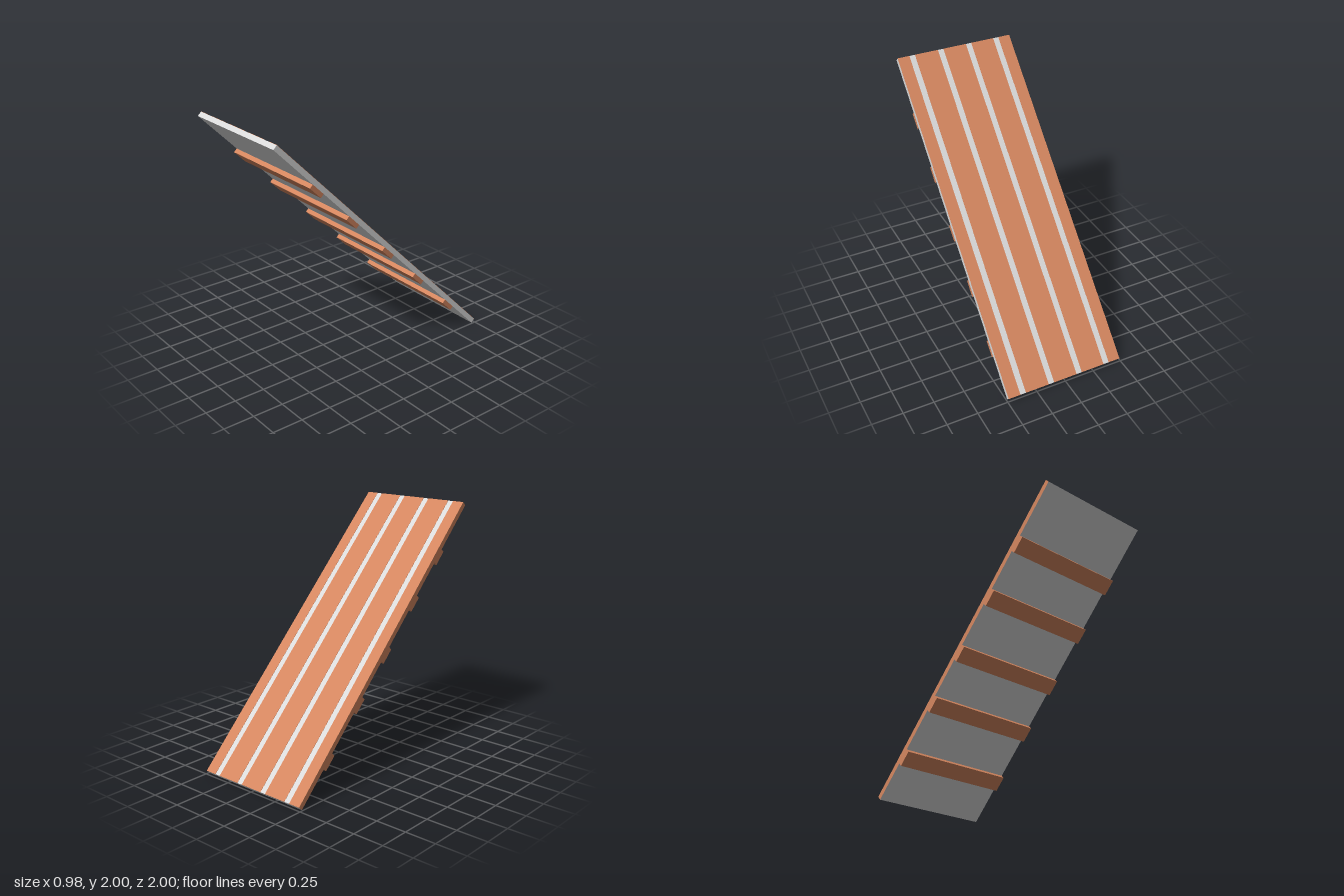
import * as THREE from 'three';

export function createModel() {
  const wood = new THREE.MeshStandardMaterial({ color: 0xd4865f });
  wood.name = 'wood';
  const grey = new THREE.MeshStandardMaterial({ color: 0xdadada });
  grey.name = 'pale grey';

  const width = 0.982, length = 2.786, thick = 0.042, skin = 0.002;

  // Everything is laid flat, then tilted: local z runs up the slope
  const ramp = new THREE.Group();
  ramp.name = 'ramp';
  ramp.position.y = 1;
  ramp.rotation.x = -Math.PI / 4;

  const addBox = (name, size, pos, material) => {
    const mesh = new THREE.Mesh(new THREE.BoxGeometry(...size), material);
    mesh.name = name;
    mesh.position.set(...pos);
    ramp.add(mesh);
  };

  // Core panel, with one wooden long edge
  addBox('panel', [width, thick - skin, length], [0, -skin / 2, 0],
    [grey, wood, grey, grey, grey, grey]);

  // Deck boards, separated by pale strips
  const edges = [-0.491, -0.368, -0.123, 0.123, 0.368, 0.491];
  const gap = 0.048;
  for (let i = 0; i < 5; i++) {
    const a = edges[i] + (i > 0 ? gap / 2 : 0);
    const b = edges[i + 1] - (i < 4 ? gap / 2 : 0);
    addBox('deckBoard', [b - a, skin, length], [(a + b) / 2, thick / 2 - skin / 2, 0], wood);
  }

  // Cross battens on the underside
  const battenThick = 0.035;
  for (const z of [0.882, 0.431, -0.054, -0.505, -0.991]) {
    addBox('crossBatten', [width, battenThick, 0.13], [0, -(thick + battenThick) / 2, z], wood);
  }

  const model = new THREE.Group();
  model.name = 'slopedBoardPanel';
  model.add(ramp);
  return model;
}
